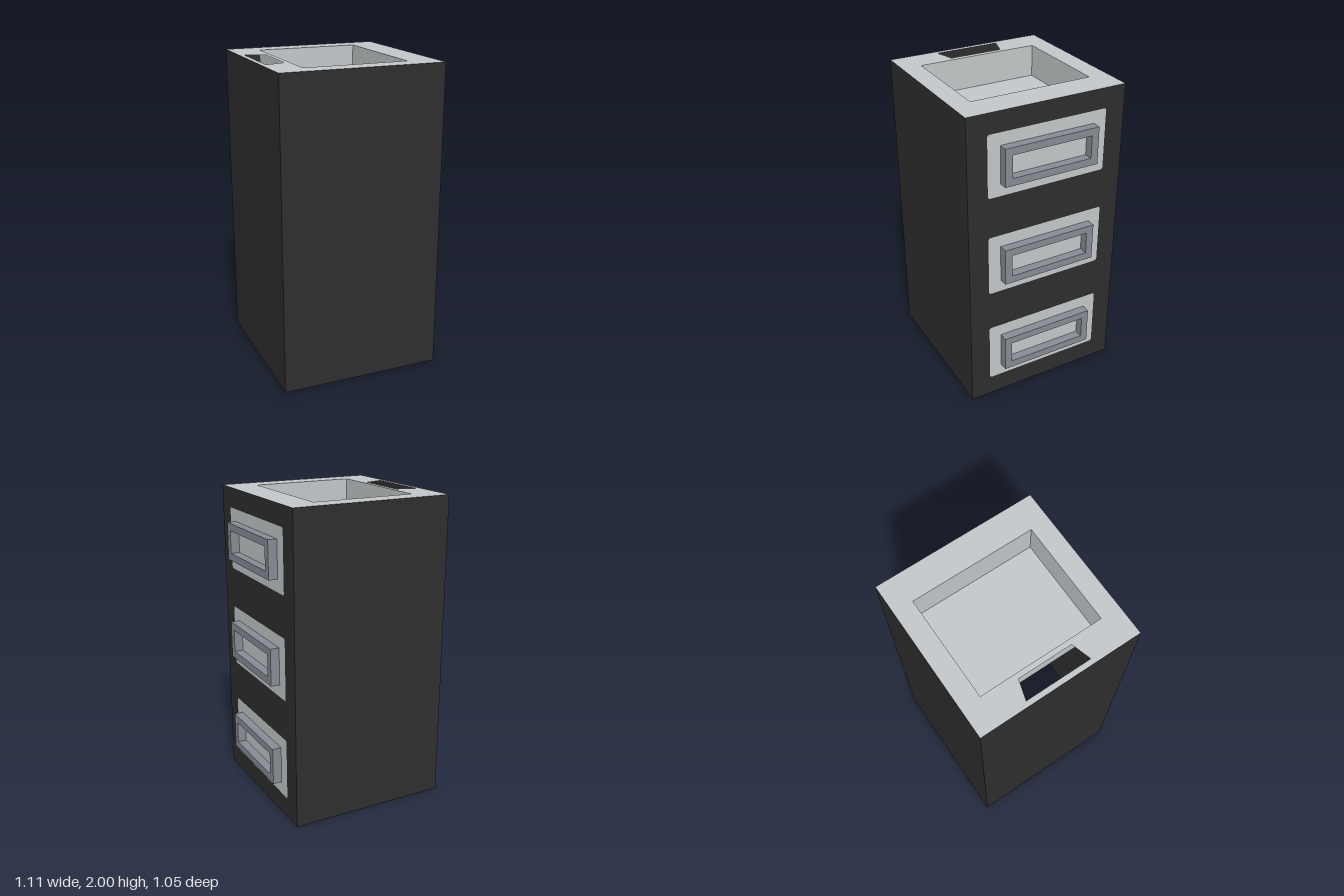
import * as THREE from 'three';

const flat = (name, color) =>
  new THREE.MeshStandardMaterial({ name, color, side: THREE.DoubleSide });

// Closed path from [x, y] points
const trace = (path, pts) => path.setFromPoints(pts.map(([x, y]) => new THREE.Vector2(x, y)));
const rect = (x0, x1, y0, y1) => [[x0, y0], [x1, y0], [x1, y1], [x0, y1]];

export function createModel() {
  const black = flat('charcoal', 0x2e2e2e);
  const pale = flat('pale grey', 0xc4c8ca);
  const steel = flat('steel grey', 0x888c94);
  const model = new THREE.Group();
  model.name = 'drawerCabinet';

  const add = (parent, name, geometry, material, x = 0, y = 0, z = 0) => {
    const mesh = new THREE.Mesh(geometry, material);
    mesh.name = name;
    mesh.position.set(x, y, z);
    parent.add(mesh);
    return mesh;
  };

  // Four upright sheets around a rectangle; facing +1 outward, -1 inward
  const walls = (name, material, w, d, h, cx, cy, facing) => {
    const group = new THREE.Group();
    group.name = name;
    group.position.set(cx, cy, 0);
    for (let i = 0; i < 4; i++) {
      const a = i * Math.PI / 2, side = i % 2;
      const wall = add(group, name + 'Wall', new THREE.PlaneGeometry(side ? d : w, h), material,
        Math.sin(a) * w / 2, 0, Math.cos(a) * d / 2);
      wall.rotation.y = facing > 0 ? a : a + Math.PI;
    }
    model.add(group);
  };

  // Cabinet body, open underneath
  const X0 = -0.558, X1 = 0.496, Z = 0.527;
  walls('body', black, X1 - X0, 2 * Z, 2, (X0 + X1) / 2, 1, 1);

  // Top with basin opening and tapered slot
  const B0 = -0.367, B1 = 0.304, BZ = 0.4, depth = 0.207;
  const top = trace(new THREE.Shape(), rect(X0, X1, -Z, Z));
  top.holes.push(
    trace(new THREE.Path(), rect(B0, B1, -BZ, BZ)),
    trace(new THREE.Path(), [[-0.525, -0.212], [-0.4, -0.175], [-0.4, 0.175], [-0.525, 0.212]]));
  add(model, 'top', new THREE.ShapeGeometry(top).rotateX(-Math.PI / 2), pale, 0, 2, 0);

  // Sunken basin
  walls('basin', pale, B1 - B0, 2 * BZ, depth, (B0 + B1) / 2, 2 - depth / 2, -1);
  add(model, 'basinFloor', new THREE.PlaneGeometry(B1 - B0, 2 * BZ).rotateX(-Math.PI / 2),
    pale, (B0 + B1) / 2, 2 - depth, 0);

  // Drawer fronts with clipped corners, and framed handles
  const w = 0.397, h = 0.201, c = 0.01;
  const panel = trace(new THREE.Shape(), [
    [-w + c, -h], [w - c, -h], [w, -h + c], [w, h - c],
    [w - c, h], [-w + c, h], [-w, h - c], [-w, -h + c]]);
  const panelGeo = new THREE.ShapeGeometry(panel).rotateY(Math.PI / 2);

  const frame = trace(new THREE.Shape(), rect(-0.315, 0.315, -0.121, 0.121));
  frame.holes.push(trace(new THREE.Path(), rect(-0.267, 0.267, -0.073, 0.073)));
  const frameGeo = new THREE.ExtrudeGeometry(frame, { depth: 0.06, bevelEnabled: false })
    .rotateY(Math.PI / 2);

  for (const y of [0.336, 1.003, 1.67]) {
    const drawer = new THREE.Group();
    drawer.name = 'drawer';
    drawer.position.set(X1, y, 0);
    add(drawer, 'drawerFront', panelGeo, pale, 0.002);
    add(drawer, 'drawerHandle', frameGeo, steel);
    model.add(drawer);
  }
  return model;
}
